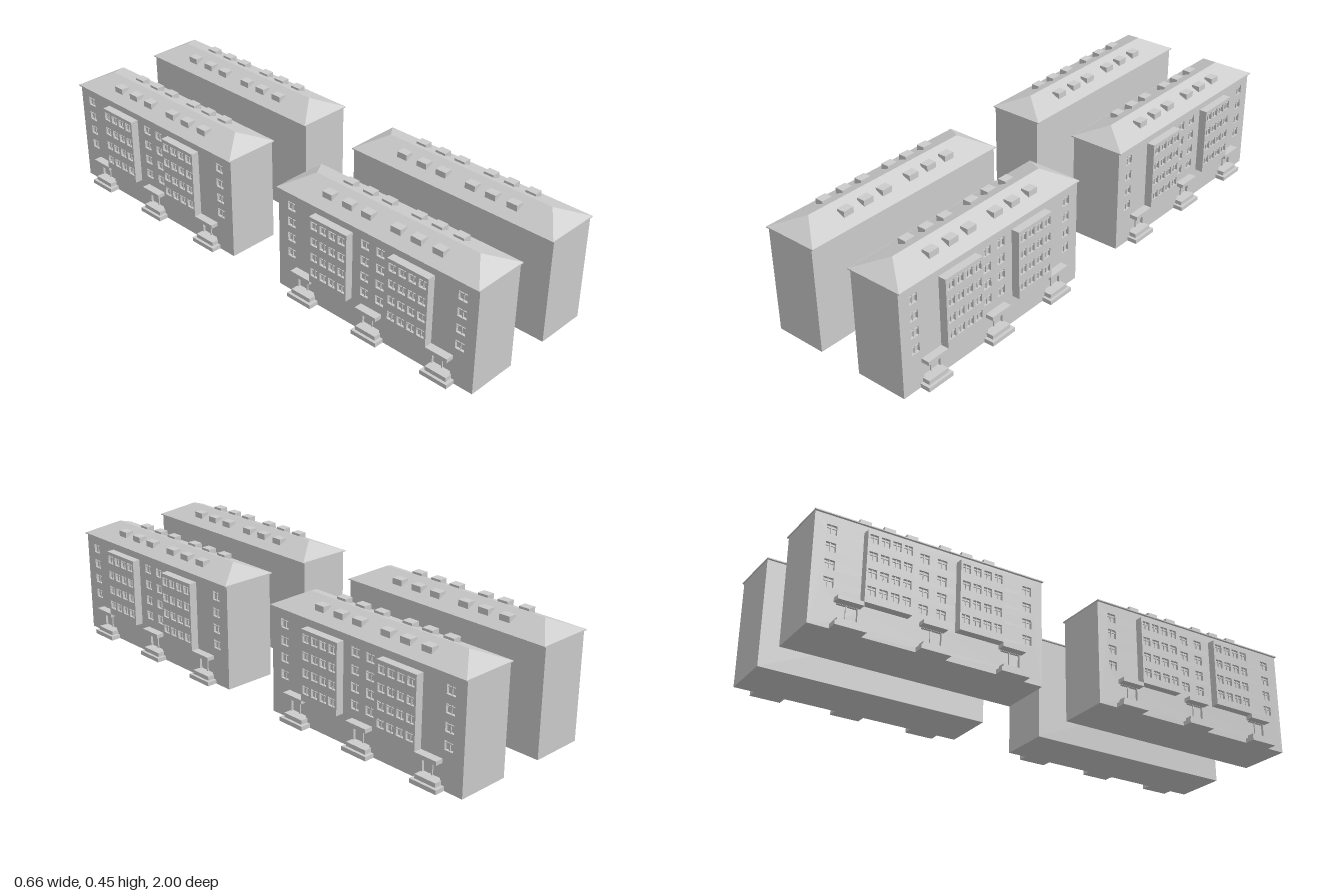
import * as THREE from 'three';

const wallMat = new THREE.MeshStandardMaterial({ color: 0xcccccc, flatShading: true });
const floors = [0.16, 0.223, 0.286, 0.35];
const entrances = [-0.306, 0, 0.306];

function add(parent, geometry, name) {
  const mesh = new THREE.Mesh(geometry, wallMat);
  mesh.name = name;
  parent.add(mesh);
  return mesh;
}

// Box given by its limits on each axis
function block(parent, name, x0, x1, y0, y1, z0, z1) {
  const mesh = add(parent, new THREE.BoxGeometry(x1 - x0, y1 - y0, z1 - z0), name);
  mesh.position.set((x0 + x1) / 2, (y0 + y1) / 2, (z0 + z1) / 2);
  return mesh;
}

// Upright panel facing +x, pierced by rectangular openings [z, y, width, height]
function piercedPanel(parent, name, x, depth, zMid, halfWidth, y0, y1, openings) {
  const rect = (T, a, b, c, d) => {
    const p = new T();
    p.moveTo(a, c); p.lineTo(b, c); p.lineTo(b, d); p.lineTo(a, d); p.closePath();
    return p;
  };
  const shape = rect(THREE.Shape, -halfWidth, halfWidth, y0, y1);
  for (const [z, y, w, h] of openings)
    shape.holes.push(rect(THREE.Path, -z - w / 2, -z + w / 2, y - h / 2, y + h / 2));
  const geometry = new THREE.ExtrudeGeometry(shape, { depth, bevelEnabled: false });
  geometry.rotateY(Math.PI / 2);
  add(parent, geometry, name).position.set(x - depth, 0, zMid);
}

// Mullion and transom set back inside a window opening
function windowBars(parent, x, z, y, w, h) {
  block(parent, 'windowMullion', x - 0.008, x - 0.004, y - h / 2, y + h / 2, z - 0.0015, z + 0.0015);
  block(parent, 'windowTransom', x - 0.008, x - 0.004, y + h * 0.18, y + h * 0.18 + 0.003, z - w / 2, z + w / 2);
}

// Hipped roof with a ridge along z
function hipRoof(hx, hz, y0, y1, ridge) {
  const a = [-hx, y0, hz], b = [hx, y0, hz], c = [hx, y0, -hz], d = [-hx, y0, -hz];
  const f = [0, y1, ridge], k = [0, y1, -ridge];
  const faces = [a, b, f, b, c, k, b, k, f, c, d, k, d, a, f, d, f, k, a, d, c, a, c, b];
  const geometry = new THREE.BufferGeometry();
  geometry.setAttribute('position', new THREE.Float32BufferAttribute(faces.flat(), 3));
  geometry.computeVertexNormals();
  return geometry;
}

function createBuilding() {
  const g = new THREE.Group();
  g.name = 'apartmentBuilding';
  const wall = 0.102, bayFront = 0.133, recess = 0.01;

  // Body and facade with windows and doorways
  block(g, 'body', -wall, wall - recess, 0, 0.405, -0.437, 0.437);
  const wallWindows = [];
  for (const y of floors)
    for (const z of [-0.375, -0.034, 0.034, 0.375]) wallWindows.push([z, y, 0.036, 0.034]);
  const doors = entrances.map((z) => [z, 0.063, 0.076, 0.062]);
  piercedPanel(g, 'facade', wall, recess, 0, 0.437, 0, 0.405, [...wallWindows, ...doors]);
  wallWindows.forEach(([z, y, w, h]) => windowBars(g, wall, z, y, w, h));

  // Projecting bays
  for (const zBay of [-0.175, 0.175]) {
    block(g, 'bayBody', wall - 0.002, bayFront - recess, 0.11, 0.374, zBay - 0.086, zBay + 0.086);
    const openings = [];
    for (const y of floors)
      for (const z of [-0.063, -0.021, 0.021, 0.063]) openings.push([z, y - 0.006, 0.031, 0.032]);
    piercedPanel(g, 'bayFront', bayFront, recess, zBay, 0.086, 0.11, 0.374, openings);
    openings.forEach(([z, y, w, h]) => windowBars(g, bayFront, z + zBay, y, w, h));
  }

  // Entrances: steps, door leaves and canopy
  for (const z of entrances) {
    block(g, 'lowerStep', wall - 0.002, 0.141, 0, 0.016, z - 0.056, z + 0.056);
    block(g, 'upperStep', wall - 0.002, 0.13, 0.016, 0.032, z - 0.044, z + 0.044);
    block(g, 'doorPost', wall - 0.009, wall - 0.004, 0.032, 0.094, z - 0.002, z + 0.002);
    block(g, 'canopy', wall - 0.002, bayFront, 0.095, 0.11, z - 0.046, z + 0.046);
  }

  // Roof, eaves and dormers
  block(g, 'eaves', -0.111, 0.111, 0.402, 0.406, -0.44, 0.44);
  add(g, hipRoof(0.111, 0.44, 0.4055, 0.452, 0.353), 'roof');
  for (const side of [-1, 1])
    for (const half of [-1, 1])
      for (const z of [0.064, 0.15, 0.24]) {
        const dormer = block(g, 'dormer', 0.035, 0.068, 0.418, 0.446, z - 0.0215, z + 0.0215);
        dormer.position.x *= side;
        dormer.position.z *= half;
      }
  return g;
}

export function createModel() {
  const model = new THREE.Group();
  model.name = 'apartmentBlocks';
  // Two rows of two, entrances facing outward
  for (const sx of [-1, 1])
    for (const sz of [-1, 1]) {
      const building = createBuilding();
      building.position.set(0.19 * sx, 0, 0.56 * sz);
      if (sx < 0) building.rotation.y = Math.PI;
      model.add(building);
    }
  return model;
}
